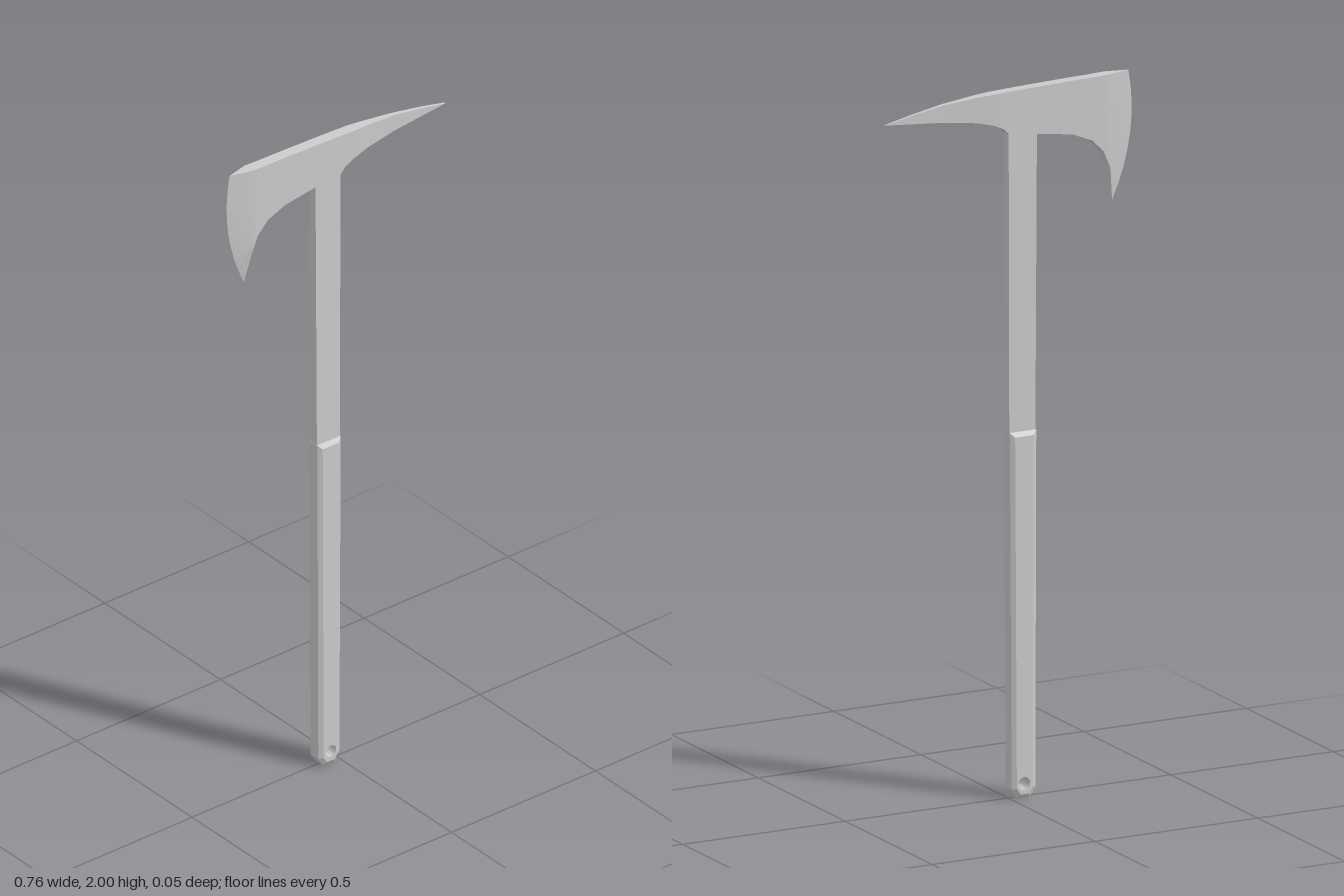
import * as THREE from 'three';
import { toCreasedNormals } from 'three/addons/utils/BufferGeometryUtils.js';

const material = new THREE.MeshStandardMaterial({ color: 0xcccccc });

function addPart(group, name, geometry) {
  const mesh = new THREE.Mesh(geometry, material);
  mesh.name = name;
  group.add(mesh);
}

// Axe head: columns run from the cutting edge to the spike tip.
// Each column: [top x, top y, bottom x, bottom y, half thickness]
function headGeometry() {
  const columns = [
    [-0.37, 2.0, -0.32, 1.64, 0],
    [-0.305, 1.999, -0.306, 1.735, 0.017],
    [-0.28, 1.998, -0.285, 1.785, 0.017],
    [-0.25, 1.997, -0.25, 1.82, 0.017],
    [-0.19, 1.996, -0.19, 1.845, 0.017],
    [-0.085, 1.993, -0.085, 1.86, 0.017],
    [0.004, 1.99, 0.004, 1.868, 0.017],
    [0.02, 1.989, 0.02, 1.886, 0.017],
    [0.05, 1.988, 0.05, 1.9, 0.017],
    [0.1, 1.985, 0.1, 1.913, 0.013],
    [0.2, 1.975, 0.2, 1.926, 0.007],
    [0.3, 1.957, 0.3, 1.934, 0.005],
    [0.378, 1.94, 0.378, 1.94, 0.003],
  ];
  const rows = 8;
  const point = (c, r, side) => {
    const [tx, ty, bx, by, t] = columns[c];
    const v = r / rows;
    const bulge = c === 0 ? -0.12 * v * (1 - v) : 0;
    return [tx + (bx - tx) * v + bulge, ty + (by - ty) * v, t * side];
  };
  const positions = [];
  const quad = (a, b, c, d) => positions.push(...a, ...b, ...c, ...a, ...c, ...d);
  for (let c = 0; c < columns.length - 1; c++) {
    for (let r = 0; r < rows; r++) {
      // front and back cheeks
      quad(point(c, r, 1), point(c, r + 1, 1), point(c + 1, r + 1, 1), point(c + 1, r, 1));
      quad(point(c, r, -1), point(c + 1, r, -1), point(c + 1, r + 1, -1), point(c, r + 1, -1));
    }
    // top and underside
    quad(point(c, 0, 1), point(c + 1, 0, 1), point(c + 1, 0, -1), point(c, 0, -1));
    quad(point(c, rows, 1), point(c, rows, -1), point(c + 1, rows, -1), point(c + 1, rows, 1));
  }
  const geometry = new THREE.BufferGeometry();
  geometry.setAttribute('position', new THREE.Float32BufferAttribute(positions, 3));
  return toCreasedNormals(geometry, 0.45);
}

// Flat upper shaft, widening slightly toward the head
function shaftGeometry() {
  const shape = new THREE.Shape([
    new THREE.Vector2(-0.077, 1.0),
    new THREE.Vector2(0.003, 1.0),
    new THREE.Vector2(0.005, 1.89),
    new THREE.Vector2(-0.082, 1.89),
  ]);
  return new THREE.ExtrudeGeometry(shape, { depth: 0.027, bevelEnabled: false })
    .translate(0, 0, -0.0135);
}

// Thicker chamfered grip with a lanyard hole near the butt
function gripGeometry() {
  const bevel = 0.012, holeX = -0.037, holeY = 0.042, holeRadius = 0.018;
  const shape = new THREE.Shape([
    [-0.063, 0.03], [-0.051, 0.012], [-0.026, 0.012],
    [-0.014, 0.03], [-0.009, 1.018], [-0.066, 1.018],
  ].map(([x, y]) => new THREE.Vector2(x, y)));
  const hole = new THREE.Path();
  hole.absarc(holeX, holeY, holeRadius, 0, Math.PI * 2, true);
  shape.holes.push(hole);
  const geometry = new THREE.ExtrudeGeometry(shape, {
    depth: 0.034, bevelSize: bevel, bevelThickness: 0.008, bevelSegments: 1, curveSegments: 8,
  });
  // keep the hole straight: only the outside is chamfered
  const p = geometry.attributes.position;
  for (let i = 0; i < p.count; i++) {
    const dx = p.getX(i) - holeX, dy = p.getY(i) - holeY;
    const d = Math.hypot(dx, dy);
    if (d < holeRadius + 0.003) {
      p.setXY(i, holeX + dx / d * holeRadius, holeY + dy / d * holeRadius);
    }
  }
  geometry.translate(0, 0, -0.017);
  geometry.computeVertexNormals();
  return geometry;
}

export function createModel() {
  const group = new THREE.Group();
  group.name = 'axe';
  addPart(group, 'head', headGeometry());
  addPart(group, 'shaft', shaftGeometry());
  addPart(group, 'grip', gripGeometry());
  return group;
}
